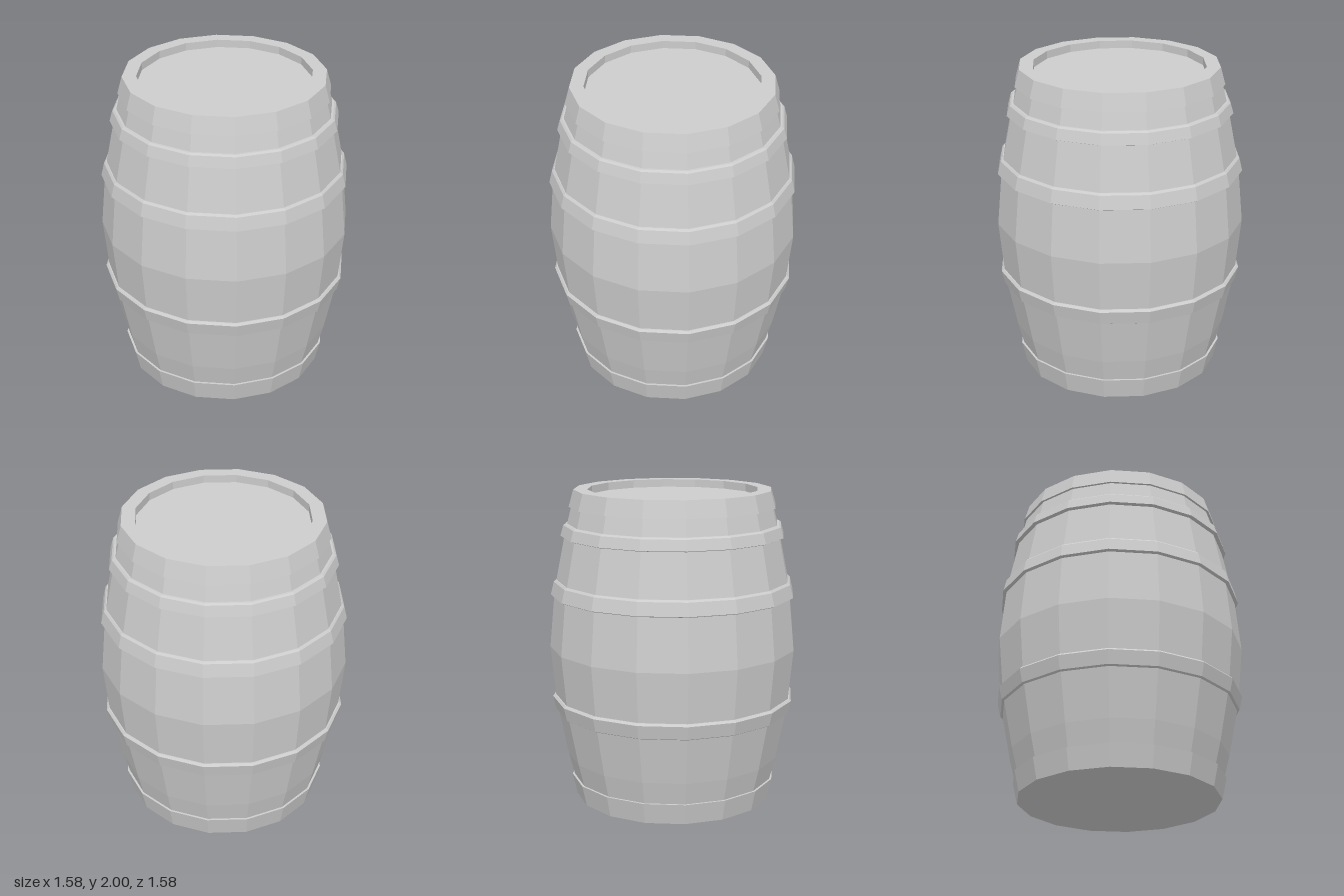
import * as THREE from 'three';

const SIDES = 16;

export function createModel() {
  const model = new THREE.Group();
  model.name = 'barrel';

  const grey = new THREE.MeshStandardMaterial({ color: 0xcccccc });
  grey.name = 'barrelGrey';
  grey.flatShading = true;

  // Profiles run bottom to top as [radius, height]
  const addLathe = (name, profile) => {
    const points = profile.map(([r, y]) => new THREE.Vector2(r, y));
    const mesh = new THREE.Mesh(new THREE.LatheGeometry(points, SIDES), grey);
    mesh.name = name;
    model.add(mesh);
  };

  // Bulging staves with a closed base and a lid sunk below the rim
  addLathe('body', [
    [0, 0], [0.615, 0], [0.685, 0.28], [0.755, 0.63], [0.79, 1],
    [0.755, 1.37], [0.685, 1.72], [0.615, 2],
    [0.54, 2], [0.54, 1.95], [0, 1.95],
  ]);

  // Hoops: bottom radius and height, top radius and height, bevel
  const hoops = [
    ['bottomHoop', 0.633, 0, 0.663, 0.135, 0],
    ['lowerHoop', 0.76, 0.585, 0.78, 0.67, 0.013],
    ['upperHoop', 0.78, 1.338, 0.76, 1.42, 0.012],
    ['shoulderHoop', 0.712, 1.712, 0.693, 1.778, 0.01],
    ['topHoop', 0.657, 1.893, 0.627, 2, 0],
  ];
  for (const [name, r0, y0, r1, y1, bevel] of hoops) {
    addLathe(name, [
      [r0 - 0.04, y0 - bevel / 2], [r0 - 0.012, y0 - bevel / 2], [r0, y0],
      [r1, y1], [r1 - 0.012, y1 + bevel], [r1 - 0.04, y1 + bevel],
    ]);
  }

  return model;
}
